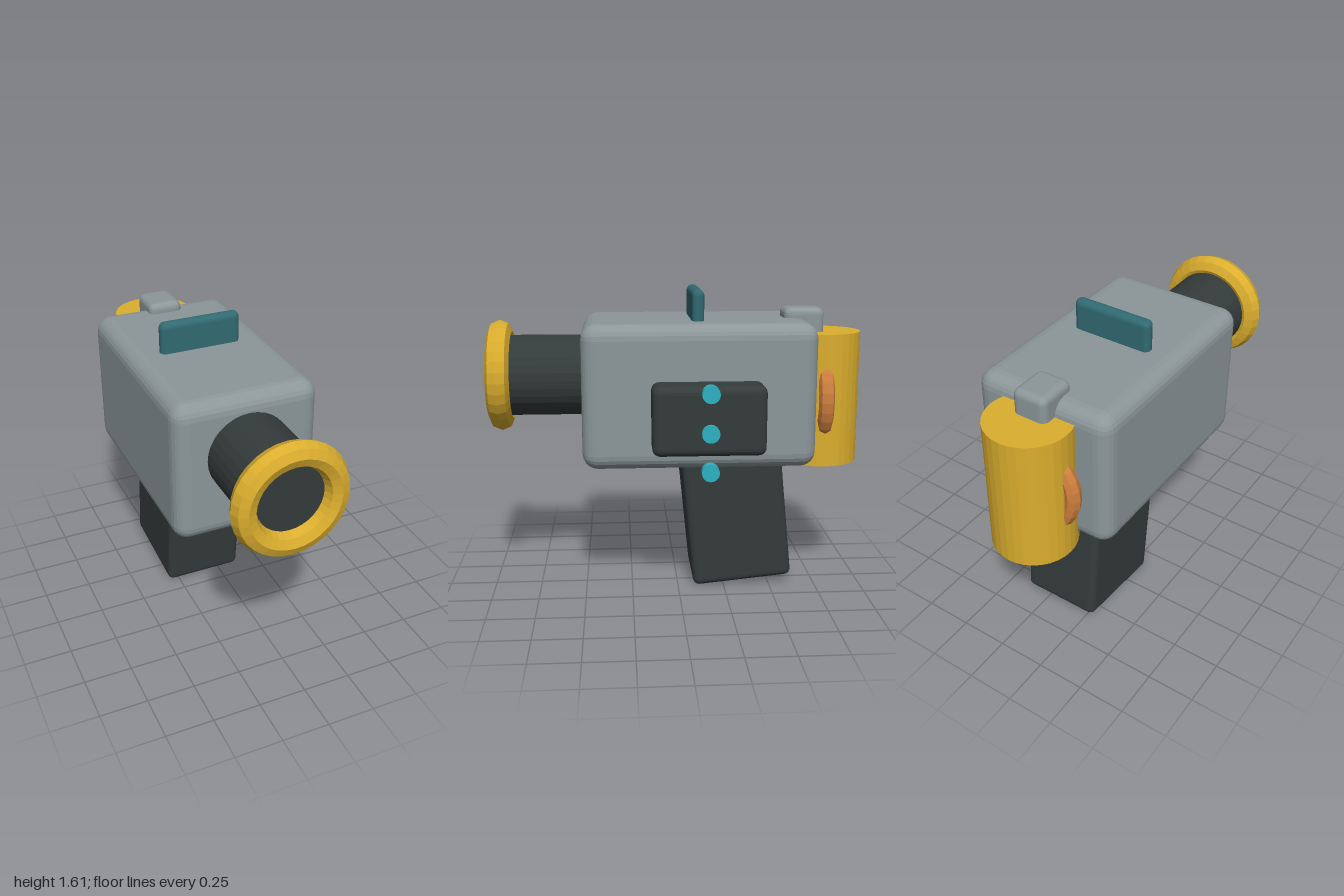
import * as THREE from 'three';
import { RoundedBoxGeometry } from 'three/addons/geometries/RoundedBoxGeometry.js';

const material = (name, color) => {
  const m = new THREE.MeshStandardMaterial({ color });
  m.name = name;
  return m;
};

// Faceted normals
const facet = (geometry) => {
  const g = geometry.index ? geometry.toNonIndexed() : geometry;
  g.computeVertexNormals();
  return g;
};

export function createModel() {
  const model = new THREE.Group();
  model.name = 'handheldCamera';

  const grey = material('bodyGrey', 0x8c979a);
  const dark = material('charcoal', 0x343b3b);
  const gold = material('gold', 0xdbae2e);
  const copper = material('copper', 0xd0803f);
  const teal = material('teal', 0x316a72);
  const cyan = material('cyan', 0x2db0c2);

  const CX = -0.094; // centre line of the body

  const add = (name, geometry, mat, x, y, z) => {
    const mesh = new THREE.Mesh(facet(geometry), mat);
    mesh.name = name;
    mesh.position.set(x, y, z);
    model.add(mesh);
    return mesh;
  };
  const box = (w, h, d, r) => new RoundedBoxGeometry(w, h, d, 3, r);
  const cylinder = (r, h) => new THREE.CylinderGeometry(r, r, h, 32);

  // Main housing and grip
  add('body', box(0.755, 0.752, 1.216, 0.08), grey, CX, 1.081, -0.105);
  const grip = add('grip', box(0.43, 0.9, 0.54, 0.035), dark, CX, 0.475, -0.311);
  grip.rotation.x = 0.1;

  // Lens at the front
  add('lensBarrel', cylinder(0.215, 0.5).rotateX(Math.PI / 2), dark, CX, 1.153, 0.687);
  add('lensRing', new THREE.TorusGeometry(0.233, 0.0625, 8, 32), gold, CX, 1.153, 0.9375);

  // Upright canister at the back with a ring through it
  add('rearCanister', cylinder(0.215, 0.71), gold, CX, 1.027, -0.785);
  add('canisterRing', new THREE.TorusGeometry(0.236, 0.042, 8, 32), copper, CX, 1.027, -0.785);

  // Fin and sight on top
  add('topFin', box(0.43, 0.3, 0.064, 0.03), teal, CX, 1.468, -0.104);
  add('rearSight', box(0.184, 0.2, 0.215, 0.035), grey, CX, 1.41, -0.68);

  // Side panel with three buttons
  add('sidePanel', box(0.25, 0.356, 0.575, 0.04), dark, 0.32, 0.993, -0.139);
  for (let i = 0; i < 3; i++) {
    add('button' + (i + 1), cylinder(0.045, 0.047).rotateZ(Math.PI / 2), cyan,
      0.448, 1.137 - i * 0.198, -0.14);
  }

  return model;
}
